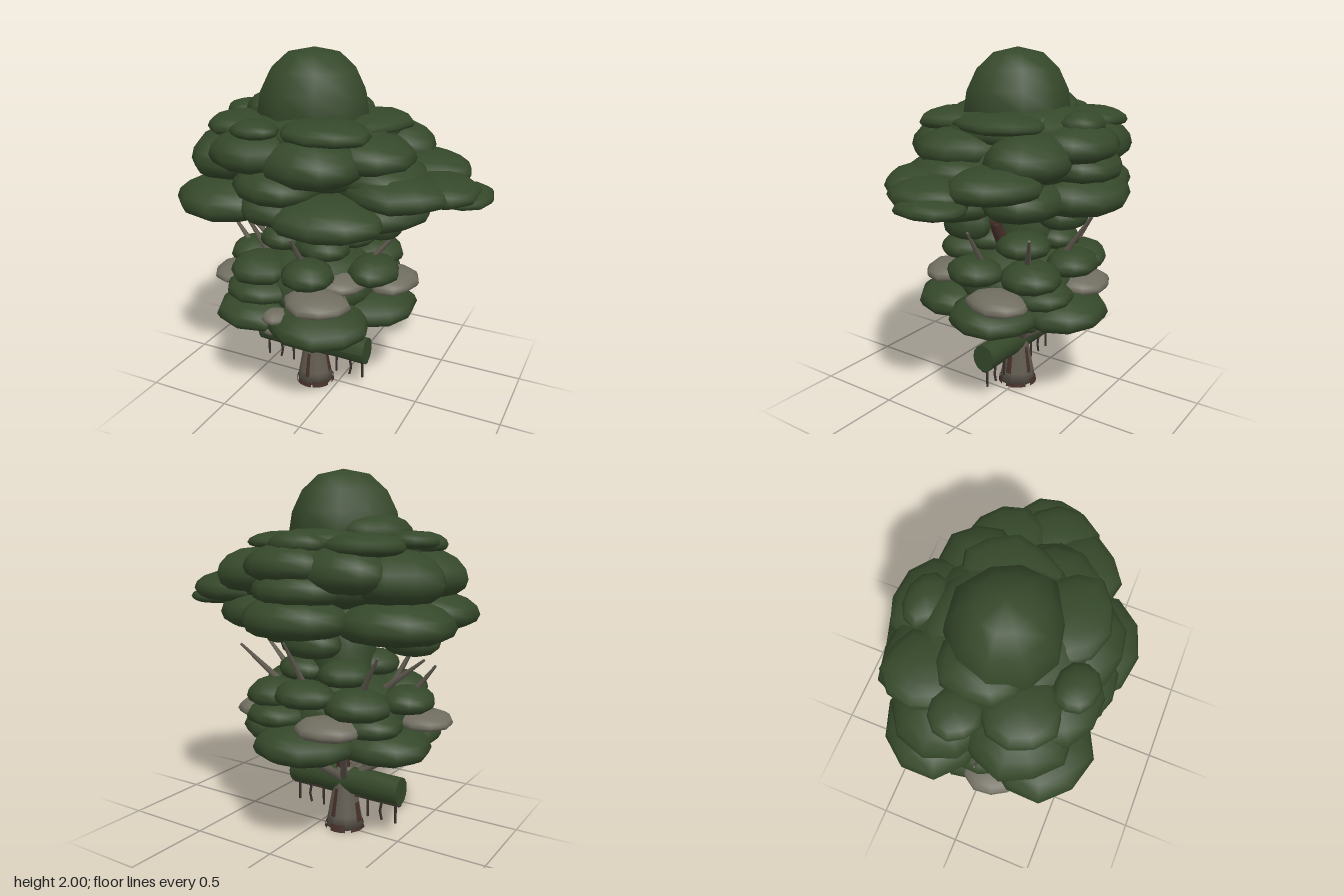
import * as THREE from 'three';
import { mergeVertices } from 'three/addons/utils/BufferGeometryUtils.js';

const mat = (name, color) => {
  const m = new THREE.MeshStandardMaterial({ color });
  m.name = name;
  return m;
};

export function createModel() {
  const leaf = mat('leaf green', 0x35482a);
  const dry = mat('dry leaf', 0x706d60);
  const bark = mat('grey bark', 0x615c51);
  const brown = mat('brown bark', 0x47302a);
  const dark = mat('dark root', 0x39302b);
  brown.side = THREE.DoubleSide;
  const tree = new THREE.Group();
  tree.name = 'tree';

  // small seeded generator for irregular outlines
  let seed = 7;
  const rnd = () => (seed = (seed * 16807) % 2147483647) / 2147483647;

  const add = (parent, name, geometry, material) => {
    const mesh = new THREE.Mesh(geometry, material);
    mesh.name = name;
    parent.add(mesh);
    return mesh;
  };

  // pillow-shaped leaf clump, widest below the middle, with an irregular rim
  function clump(parent, [x, y, z, rx, ry, rz], material, name = 'leafClump') {
    const n = 10;
    let g = new THREE.SphereGeometry(1, n, 8);
    const rim = Array.from({ length: n }, () => 0.94 + rnd() * 0.13);
    const p = g.attributes.position;
    const turn = rnd() * 6.28;
    for (let i = 0; i < p.count; i++) {
      const k = rim[(i % (n + 1)) % n];
      const r = Math.hypot(p.getX(i), p.getZ(i));
      const a = Math.atan2(p.getZ(i), p.getX(i)) + turn;
      const w = Math.pow(r, 0.8) * k;
      const h = p.getY(i);
      p.setXYZ(i, Math.cos(a) * w * rx, (h + 0.2 * (h * h - 1)) * ry, Math.sin(a) * w * rz);
    }
    g.deleteAttribute('uv');
    g.deleteAttribute('normal');
    g = mergeVertices(g, 1e-4);
    g.computeVertexNormals();
    add(parent, name, g, material).position.set(x, y, z);
  }

  // tapered limb through a list of points
  function limb(parent, name, points, r0, r1, material, sides = 6) {
    const v = points.map((p) => new THREE.Vector3(...p));
    const n = v.length - 1;
    for (let i = 0; i < n; i++) {
      const d = v[i + 1].clone().sub(v[i]);
      const a = r0 + (r1 - r0) * (i / n), b = r0 + (r1 - r0) * ((i + 1) / n);
      const m = add(parent, name, new THREE.CylinderGeometry(b, a, d.length(), sides), material);
      m.position.copy(v[i]).addScaledVector(d, 0.5);
      m.quaternion.setFromUnitVectors(new THREE.Vector3(0, 1, 0), d.normalize());
    }
  }

  const layer = (name, list, material = leaf) => {
    const g = new THREE.Group();
    g.name = name;
    list.forEach((c) => clump(g, c, material));
    tree.add(g);
  };

  // crown
  clump(tree, [-0.125, 1.72, 0.02, 0.31, 0.28, 0.29], leaf, 'crownDome');
  layer('crownShoulder', [
    [-0.35, 1.68, -0.02, 0.17, 0.09, 0.22], [-0.13, 1.6, 0, 0.46, 0.11, 0.42],
    [-0.57, 1.64, -0.05, 0.14, 0.045, 0.13], [-0.26, 1.64, 0.42, 0.13, 0.045, 0.11],
    [0.06, 1.63, 0.28, 0.25, 0.06, 0.2], [-0.11, 1.63, -0.4, 0.15, 0.06, 0.11],
    [0.17, 1.63, -0.08, 0.21, 0.05, 0.26], [-0.42, 1.62, -0.27, 0.2, 0.06, 0.2],
    [-0.45, 1.62, 0.22, 0.2, 0.06, 0.2], [-0.12, 1.62, -0.22, 0.26, 0.08, 0.16],
  ]);
  layer('upperCrown', [
    [-0.13, 1.45, 0, 0.54, 0.17, 0.5], [-0.5, 1.46, 0.22, 0.25, 0.13, 0.27],
    [-0.51, 1.46, -0.14, 0.26, 0.14, 0.25], [-0.3, 1.52, 0.34, 0.25, 0.11, 0.23],
    [0.02, 1.49, 0.36, 0.26, 0.12, 0.22], [0.2, 1.51, 0.12, 0.29, 0.1, 0.25],
    [0.2, 1.48, -0.27, 0.26, 0.12, 0.23], [-0.08, 1.53, -0.39, 0.25, 0.1, 0.2],
    [-0.35, 1.5, -0.33, 0.25, 0.12, 0.2], [-0.15, 1.37, 0.42, 0.23, 0.09, 0.18],
    [0.3, 1.4, 0.1, 0.26, 0.09, 0.26], [-0.12, 1.41, -0.42, 0.25, 0.09, 0.18],
  ]);
  layer('broadCrown', [
    [-0.13, 1.28, 0, 0.46, 0.12, 0.44], [-0.54, 1.25, -0.18, 0.3, 0.115, 0.27],
    [-0.47, 1.25, 0.33, 0.29, 0.11, 0.27], [0.12, 1.24, 0.39, 0.3, 0.1, 0.26],
    [-0.1, 1.27, -0.39, 0.3, 0.115, 0.26], [0.29, 1.24, 0.14, 0.29, 0.1, 0.27],
    [0.2, 1.27, -0.24, 0.25, 0.11, 0.22], [-0.14, 1.26, 0.36, 0.25, 0.1, 0.22],
  ]);
  layer('sideBough', [
    [0.41, 1.38, -0.22, 0.28, 0.085, 0.23], [0.41, 1.35, 0.2, 0.27, 0.085, 0.23],
    [0.59, 1.34, 0.03, 0.2, 0.07, 0.23], [0.69, 1.3, -0.04, 0.15, 0.05, 0.2],
  ]);
  layer('hangingClumps', [
    [-0.51, 1.12, 0.1, 0.16, 0.09, 0.15], [0.3, 1.13, 0.05, 0.1, 0.1, 0.14],
    [-0.13, 1.13, -0.29, 0.17, 0.09, 0.13], [-0.16, 1.14, 0.2, 0.16, 0.1, 0.11],
  ]);

  // middle and lower canopy
  layer('innerFoliage', [
    [-0.15, 1.0, 0, 0.17, 0.3, 0.2], [-0.14, 0.73, 0, 0.39, 0.2, 0.36],
    [-0.28, 0.97, 0.12, 0.13, 0.07, 0.13], [0.02, 0.95, -0.12, 0.15, 0.07, 0.15],
    [-0.02, 0.95, 0.13, 0.15, 0.07, 0.13], [-0.25, 0.95, -0.16, 0.14, 0.07, 0.15],
  ]);
  layer('middleCanopy', [
    [-0.53, 0.81, 0.02, 0.14, 0.07, 0.16], [-0.03, 0.86, 0.32, 0.15, 0.075, 0.14],
    [0.24, 0.83, 0.05, 0.14, 0.075, 0.17], [-0.12, 0.86, -0.35, 0.17, 0.07, 0.14],
    [-0.35, 0.82, 0.26, 0.17, 0.08, 0.17], [0.12, 0.82, -0.24, 0.17, 0.08, 0.17],
    [-0.38, 0.82, -0.25, 0.17, 0.08, 0.17], [-0.34, 0.71, 0.28, 0.2, 0.07, 0.18],
    [0.08, 0.72, -0.28, 0.18, 0.07, 0.17], [-0.42, 0.71, -0.18, 0.17, 0.07, 0.17],
  ]);
  layer('dryClumps', [
    [-0.59, 0.69, 0.11, 0.15, 0.045, 0.16], [0.04, 0.725, 0.36, 0.19, 0.055, 0.16],
    [0.28, 0.7, -0.13, 0.15, 0.055, 0.18], [-0.27, 0.7, -0.35, 0.18, 0.055, 0.15],
    [-0.17, 0.625, 0.43, 0.07, 0.035, 0.08], [-0.2, 0.54, 0.37, 0.09, 0.045, 0.1],
    [0.1, 0.775, 0.17, 0.14, 0.05, 0.14],
  ], dry);
  layer('lowerCanopy', [
    [-0.43, 0.585, -0.06, 0.27, 0.1, 0.26], [0.02, 0.58, 0.3, 0.28, 0.1, 0.25],
    [0.18, 0.585, -0.04, 0.28, 0.095, 0.27], [-0.09, 0.59, -0.31, 0.28, 0.1, 0.25],
    [-0.35, 0.58, 0.25, 0.27, 0.09, 0.25],
    [0.04, 0.5, -0.13, 0.11, 0.055, 0.11], [-0.15, 0.54, 0.02, 0.2, 0.1, 0.2],
  ]);

  // flared trunk with brown bark patches
  const trunk = new THREE.Group();
  trunk.name = 'trunk';
  trunk.position.set(-0.145, 0, 0.025);
  tree.add(trunk);
  const radius = (y) => 0.05 + 0.062 * Math.pow(1 - y / 0.36, 1.1);
  const profile = (y0, y1, out) => Array.from({ length: 6 }, (_, i) => {
    const y = y0 + (y1 - y0) * i / 5;
    return new THREE.Vector2(radius(y) + out, y);
  });
  const shell = profile(0.01, 0.36, 0);
  add(trunk, 'trunkBark', new THREE.LatheGeometry([new THREE.Vector2(0, 0.01), ...shell, new THREE.Vector2(0, 0.36)], 10), bark);
  [[-0.15, 0.06, 0.21, 0.25], [1.4, 0.08, 0.2, 0.35], [2.8, 0.08, 0.24, 0.3], [4.4, 0.05, 0.16, 0.4],
    [0.3, 0, 0.035, 0.9], [1.5, 0, 0.02, 1.1], [2.9, 0, 0.04, 0.8], [4.0, 0, 0.02, 1.5], [5.6, 0, 0.025, 0.9]]
    .forEach(([a, y0, y1, w]) => add(trunk, 'barkPatch', new THREE.LatheGeometry(profile(y0, y1, 0.004), 3, a, w), brown));

  // mossy log across the trunk with hanging roots
  const logGeo = new THREE.CylinderGeometry(0.08, 0.08, 0.7, 14, 8);
  logGeo.rotateZ(Math.PI / 2);
  const lp = logGeo.attributes.position;
  for (let i = 0; i < lp.count; i++) {
    const k = 1 + 0.04 * Math.sin(lp.getX(i) * 25);
    lp.setY(i, lp.getY(i) * k);
    lp.setZ(i, lp.getZ(i) * 0.86 * k);
  }
  logGeo.computeVertexNormals();
  add(tree, 'mossyLog', logGeo, leaf).position.set(-0.15, 0.28, 0.03);
  add(tree, 'logUnderside', new THREE.BoxGeometry(0.7, 0.008, 0.03), dark).position.set(-0.15, 0.199, 0.025);
  [-0.47, -0.385, -0.295, 0, 0.085, 0.17].forEach((x, i) => {
    const bend = i % 3 === 1 ? 0.012 : 0;
    limb(tree, 'hangingRoot', [[x, 0.21, 0.025], [x + bend, 0.14, 0.025], [x, 0.09, 0.025]], 0.008, 0.007, dark, 5);
  });

  // brown stem and fork
  limb(tree, 'stem', [[-0.14, 0.3, 0.02], [-0.12, 0.6, 0.01], [0.0, 0.85, 0], [0.12, 1.08, 0], [0.14, 1.25, 0]], 0.04, 0.03, brown, 8);
  limb(tree, 'stemFork', [[0.11, 1.05, 0], [0.24, 1.18, 0.03]], 0.024, 0.015, brown);

  // grey lower limbs fanning out under the canopy
  [[-0.52, 0.51, 0.05], [-0.4, 0.55, 0.25], [-0.04, 0.54, 0.3], [0.2, 0.52, 0.06], [0.08, 0.55, -0.25], [-0.32, 0.54, -0.28], [-0.13, 0.52, -0.36], [-0.2, 0.54, 0.38]]
    .forEach((e) => limb(tree, 'lowerLimb', [[-0.14, 0.28, 0.02], e], 0.025, 0.012, bark));

  // thin bare branches rising from the middle canopy
  [[[-0.5, 0.78, 0.05], [-0.67, 1.0, 0.05]], [[-0.36, 0.8, 0.12], [-0.5, 1.11, 0.2]],
    [[-0.36, 0.82, 0.0], [-0.62, 1.03, 0.02]], [[0.16, 0.8, 0.03], [0.39, 1.09, -0.02]],
    [[0.1, 0.84, -0.2], [0.3, 1.08, -0.34]], [[-0.1, 0.82, -0.26], [-0.09, 1.14, -0.48]],
    [[-0.09, 0.84, 0.24], [-0.05, 1.1, 0.46]], [[-0.35, 0.82, -0.2], [-0.52, 1.08, -0.3]],
    [[-0.1, 0.95, 0.1], [-0.06, 1.16, 0.2]]]
    .forEach(([a, b]) => limb(tree, 'bareBranch', [a, b], 0.023, 0.007, bark, 5));

  return tree;
}
